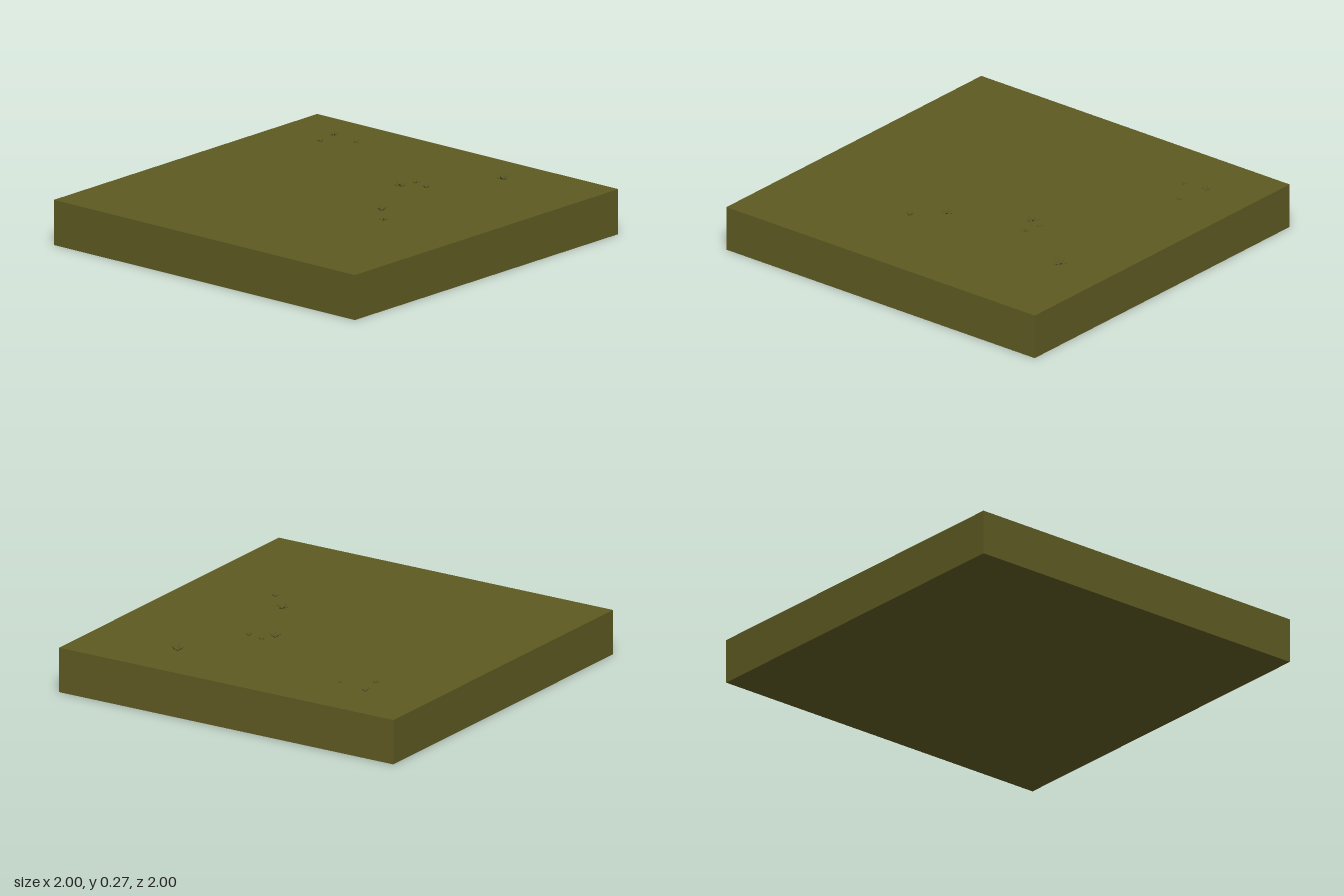
import * as THREE from 'three';

const TOP = 0.235;

// One creased leaf pointing along +x: root, two sides, lowered spine, tip
function leafGeometry(rise) {
  const g = new THREE.BufferGeometry();
  g.setAttribute('position', new THREE.Float32BufferAttribute([
    0, 0, 0,
    0.5, rise * 0.5, 0.17,
    0.5, rise * 0.5, -0.17,
    0.5, rise * 0.35, 0,
    1, rise, 0,
  ], 3));
  g.setIndex([0, 1, 3, 0, 3, 2, 3, 1, 4, 3, 4, 2]);
  const flat = g.toNonIndexed();
  flat.computeVertexNormals();
  return flat;
}

export function createModel() {
  const model = new THREE.Group();
  const soil = new THREE.MeshStandardMaterial({ color: 0x5e5a22 });
  soil.name = 'olive ground';
  const green = new THREE.MeshStandardMaterial({ color: 0x525422, side: THREE.DoubleSide });
  green.name = 'leaf green';

  // Ground slab
  const slab = new THREE.Mesh(new THREE.BoxGeometry(2, TOP, 2), soil);
  slab.name = 'groundSlab';
  slab.position.y = TOP / 2;
  model.add(slab);

  // Low and upright leaves, alternating around each tuft
  const leaves = [leafGeometry(0.45), leafGeometry(0.75)];

  // Tufts: x, z, radius, turn
  const tufts = [
    [0.61, -0.64, 0.025, 0.3], [0.74, -0.66, 0.03, 0.9], [0.71, -0.49, 0.021, 0.1],
    [0.295, 0.17, 0.04, 0.5], [0.375, 0.2, 0.025, 1.1], [0.35, 0.29, 0.03, 0.2],
    [-0.085, 0.375, 0.039, 0.0], [-0.215, 0.505, 0.03, 0.7], [0.725, 0.47, 0.046, 0.4],
  ];
  for (const [x, z, radius, turn] of tufts) {
    const tuft = new THREE.Group();
    tuft.name = 'grassTuft';
    for (let i = 0; i < 6; i++) {
      const leaf = new THREE.Mesh(leaves[i % 2], green);
      leaf.name = 'leaf';
      leaf.rotation.y = (i / 6) * Math.PI * 2;
      leaf.scale.setScalar(i % 2 ? 0.85 : 1);
      tuft.add(leaf);
    }
    tuft.position.set(x, TOP + 0.022 - radius * 0.35, z);
    tuft.rotation.y = turn;
    tuft.scale.setScalar(radius);
    model.add(tuft);
  }
  return model;
}
